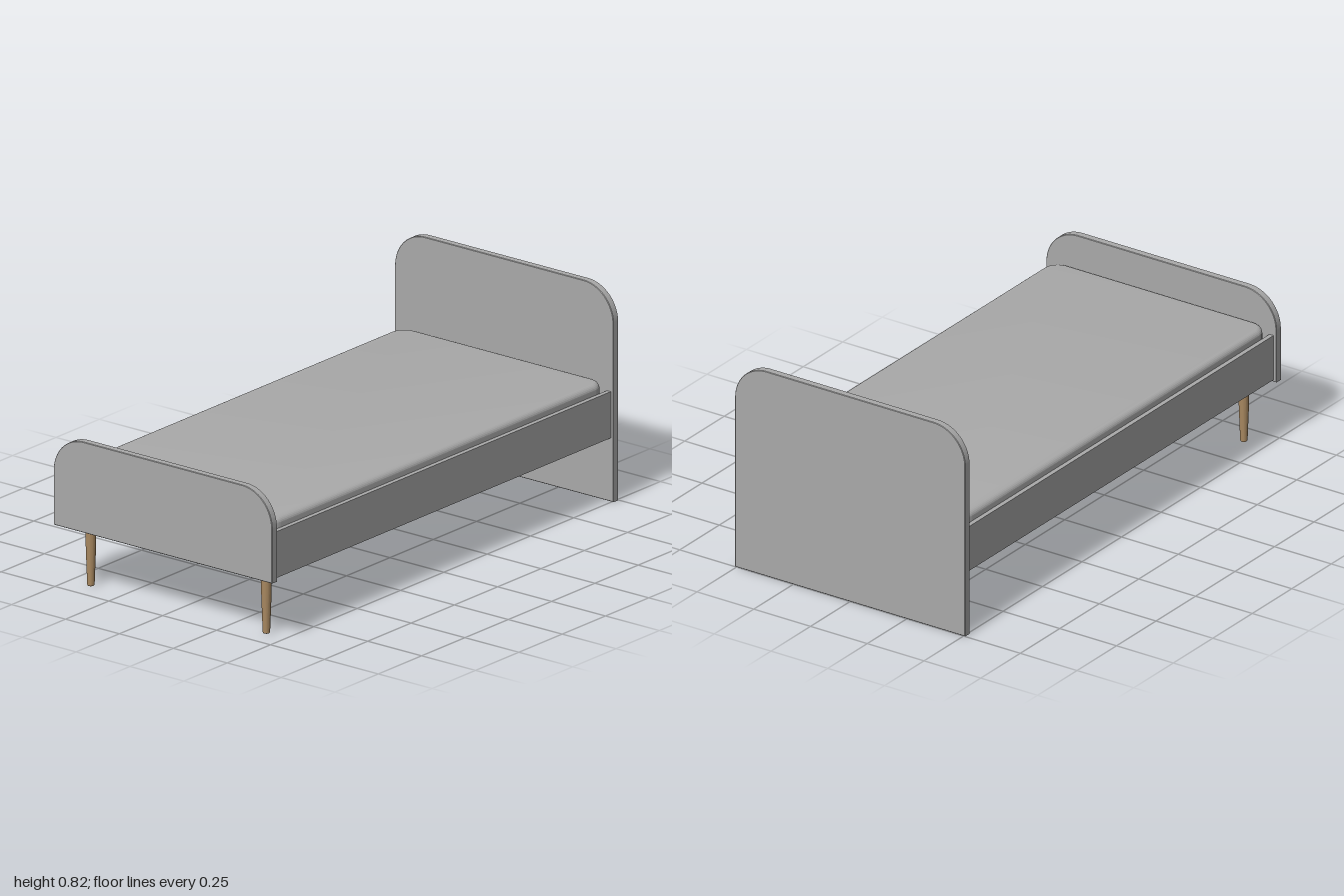
import * as THREE from 'three';
import { toCreasedNormals } from 'three/addons/utils/BufferGeometryUtils.js';

const grey = new THREE.MeshStandardMaterial({ name: 'grey', color: 0xaaaaaa });
const wood = new THREE.MeshStandardMaterial({ name: 'wood', color: 0xa88860 });

function addMesh(group, name, geometry, material) {
  const mesh = new THREE.Mesh(geometry, material);
  mesh.name = name;
  group.add(mesh);
  return mesh;
}

// Extrude a shape to a total depth, with softened edges inside that depth
function extrude(shape, depth, bevel, segments) {
  const geometry = new THREE.ExtrudeGeometry(shape, {
    depth: depth - 2 * bevel, curveSegments: 14,
    bevelEnabled: bevel > 0, bevelThickness: bevel, bevelSize: bevel,
    bevelOffset: -bevel, bevelSegments: segments,
  });
  geometry.translate(0, 0, bevel);
  return toCreasedNormals(geometry, 0.2);
}

// Upright panel with two large rounded upper corners
function boardShape(halfWidth, bottom, top, radius) {
  const s = new THREE.Shape();
  s.moveTo(-halfWidth, bottom);
  s.lineTo(halfWidth, bottom);
  s.lineTo(halfWidth, top - radius);
  s.absarc(halfWidth - radius, top - radius, radius, 0, Math.PI / 2, false);
  s.lineTo(radius - halfWidth, top);
  s.absarc(radius - halfWidth, top - radius, radius, Math.PI / 2, Math.PI, false);
  s.closePath();
  return s;
}

// Mattress outline in plan
function roundedRect(w, h, r) {
  const s = new THREE.Shape();
  s.absarc(w - r, h - r, r, 0, Math.PI / 2, false);
  s.absarc(r - w, h - r, r, Math.PI / 2, Math.PI, false);
  s.absarc(r - w, r - h, r, Math.PI, Math.PI * 1.5, false);
  s.absarc(w - r, r - h, r, Math.PI * 1.5, Math.PI * 2, false);
  s.closePath();
  return s;
}

export function createModel() {
  const bed = new THREE.Group();
  bed.name = 'bed';

  // End boards
  addMesh(bed, 'headboard', extrude(boardShape(0.507, 0, 0.822, 0.14), 0.03, 0.002, 1), grey)
    .position.z = -1;
  addMesh(bed, 'footboard', extrude(boardShape(0.507, 0.236, 0.584, 0.14), 0.03, 0.002, 1), grey)
    .position.z = 0.97;

  // Deep mattress with soft edges, its underside just above the rail bottoms
  const mattress = extrude(roundedRect(0.476, 0.97, 0.065), 0.168, 0.022, 6);
  mattress.rotateX(-Math.PI / 2);
  addMesh(bed, 'mattress', mattress, grey).position.y = 0.29;

  for (const side of [-1, 1]) {
    const label = side > 0 ? 'left' : 'right';

    // Side rail
    addMesh(bed, label + 'Rail', new THREE.BoxGeometry(0.018, 0.178, 1.94), grey)
      .position.set(side * 0.486, 0.333, 0);

    // Thin triangular corner plate that holds the leg
    const corner = new THREE.Shape([
      new THREE.Vector2(side * 0.477, -0.97),
      new THREE.Vector2(side * 0.477, -0.81),
      new THREE.Vector2(side * 0.317, -0.97),
    ]);
    const plate = extrude(corner, 0.008, 0, 1);
    plate.rotateX(-Math.PI / 2);
    addMesh(bed, label + 'LegPlate', plate, grey).position.y = 0.246;

    // Tapered leg with a slightly rounded foot
    const profile = [[0, 0], [0.0115, 0], [0.0135, 0.003], [0.0192, 0.16], [0.0195, 0.247], [0, 0.247]]
      .map(([r, y]) => new THREE.Vector2(r, y));
    const leg = toCreasedNormals(new THREE.LatheGeometry(profile, 32), 0.3);
    addMesh(bed, label + 'Leg', leg, wood).position.set(side * 0.407, 0, 0.908);
  }
  return bed;
}
